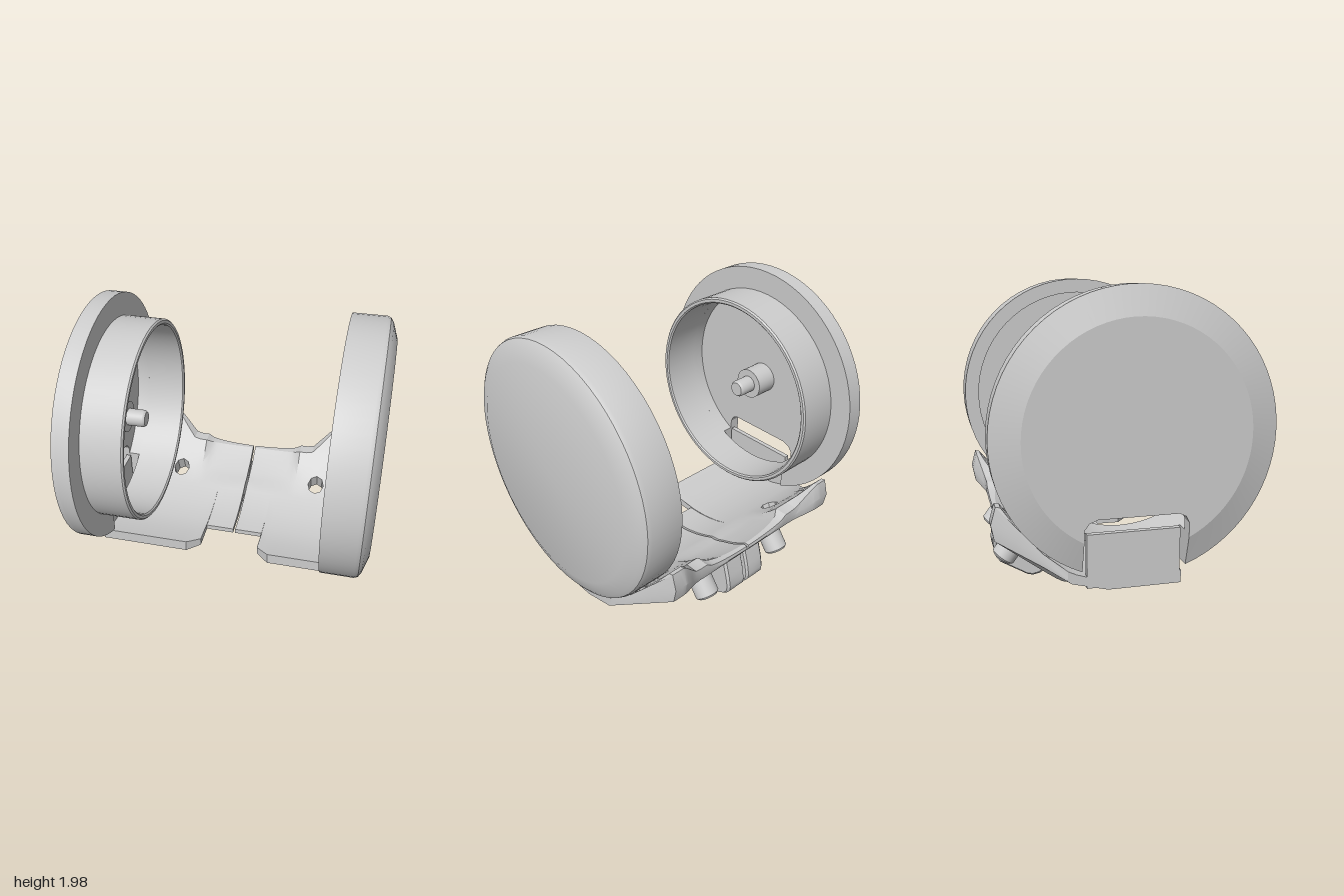
import * as THREE from 'three';
import { toCreasedNormals } from 'three/addons/utils/BufferGeometryUtils.js';

const AXIS_Y = 1.12; // height of the shared axis of both discs
const material = new THREE.MeshStandardMaterial({ color: 0xcccccc, side: THREE.DoubleSide });
const clamp = (v) => Math.min(1, Math.max(0, v));

function addMesh(group, name, geometry, crease = 0.6) {
  const mesh = new THREE.Mesh(toCreasedNormals(geometry, crease), material);
  mesh.name = name;
  group.add(mesh);
  return mesh;
}

// Section loop of [z, y] pairs placed at x
const section = (x, loop) => loop.map(([z, y]) => new THREE.Vector3(x, y, z));

// Solid through closed sections ordered along x; s = -1 mirrors it.
// hole: { col, row, span } leaves an eight-sided opening through the sheet.
function loft(grid, s = 1, hole = null) {
  const pos = [];
  const tri = (a, b, c) => {
    for (const p of s > 0 ? [a, b, c] : [a, c, b]) pos.push(s * p.x, p.y, p.z);
  };
  const quad = (a, b, c, d) => { tri(a, b, d); tri(b, c, d); };
  const n = grid[0].length;
  const inHole = (i, j) => hole && (i === hole.col || i === hole.col - 1) &&
    [hole.row, hole.row + 1, hole.span - hole.row - 1, hole.span - hole.row - 2].includes(j);
  for (let i = 0; i < grid.length - 1; i++) {
    for (let j = 0; j < n; j++) {
      if (inHole(i, j)) continue;
      const k = (j + 1) % n;
      quad(grid[i][j], grid[i + 1][j], grid[i + 1][k], grid[i][k]);
    }
  }
  const cap = (loop, flip) => {
    const flat = loop.map((p) => new THREE.Vector2(p.z, p.y));
    for (const [a, b, c] of THREE.ShapeUtils.triangulateShape(flat, [])) {
      if (flip) tri(loop[a], loop[c], loop[b]);
      else tri(loop[a], loop[b], loop[c]);
    }
  };
  cap(grid[0], false);
  cap(grid[grid.length - 1], true);
  if (hole) {
    const rim = [[-1, 0], [0, 0], [1, 0], [1, 1], [1, 2], [0, 2], [-1, 2], [-1, 1]];
    rim.forEach(([di, dj], q) => {
      const [ei, ej] = rim[(q + 1) % 8];
      const at = (d, j) => grid[hole.col + d][j];
      quad(at(di, hole.row + dj), at(ei, hole.row + ej),
        at(ei, hole.span - hole.row - ej), at(di, hole.span - hole.row - dj));
    });
  }
  const g = new THREE.BufferGeometry();
  g.setAttribute('position', new THREE.Float32BufferAttribute(pos, 3));
  return g;
}

// Revolved part about the disc axis; profile of [radius, x] pairs
function turned(profile, segments = 64) {
  const g = new THREE.LatheGeometry(profile.map(([r, x]) => new THREE.Vector2(r, x)), segments);
  return g.rotateZ(-Math.PI / 2).translate(0, AXIS_Y, 0);
}

// Arc of a notched disc, from the front wall of the notch over the top to its rear wall
function notchedArc(r, steps = 64) {
  const a = -Math.acos(0.3 / r);
  const b = Math.PI + Math.acos(0.33 / r);
  return Array.from({ length: steps + 1 }, (_, i) => {
    const t = a + ((b - a) * i) / steps;
    return [r * Math.cos(t), AXIS_Y + r * Math.sin(t)];
  });
}

// Cross-section of the cradle at x, with its front edge at z = f
function cradleSection(x, f) {
  const scoop = x < 0.38 ? Math.sqrt(1 - (x / 0.38) ** 2) : 0;
  const wing = clamp((x - 0.47) / 0.15);
  const taper = 0.93 * clamp((x - 0.72) / 0.18);
  const mix = THREE.MathUtils.lerp;
  const pull = (z) => (z < -0.385 ? mix(z, -0.385, taper) : z);
  // concave bed: [z, depth of the rear scoop]
  const bed = [];
  for (let i = 0; i < 5; i++) bed.push([mix(f, -0.36, i / 4), 0]);
  bed.push([-0.41, 0], [-0.47, 0.025], [-0.53, 0.04],
    [mix(-0.6, -0.65, wing) - 0.02 * scoop, 0.08],
    [mix(-0.66, -0.77, wing) - 0.06 * scoop, 0.135]);
  const upper = bed.map(([z, d]) => {
    const zz = pull(z);
    return [zz, AXIS_Y - Math.sqrt(0.885 ** 2 - zz * zz) - d * scoop];
  });
  // rear edge and underside
  const lower = [
    [mix(-0.75, -0.8, wing), mix(0.53, 0.69, wing) - 0.06 * scoop],
    [mix(-0.755, -0.83, wing), mix(0.48, 0.58, wing) - 0.03 * scoop],
    [mix(-0.745, -0.81, wing), mix(0.43, 0.48, wing)],
    [-0.57, 0.302], [-0.51, 0.257], [-0.45, 0.215], [-0.41, 0.19],
  ].map(([z, y]) => [pull(z), mix(y, 0.26, taper)]);
  return section(x, [...upper, ...lower, [-0.385, 0.255], [-0.17, 0.2], [f, 0.2]]);
}

function cradleHalf(s) {
  const xs = [0.008, 0.08, 0.15, 0.21, 0.21, 0.26, 0.3, 0.34, 0.38, 0.43, 0.48, 0.54, 0.6,
    0.63, 0.66, 0.72, 0.78, 0.84, s > 0 ? 0.9 : 0.93];
  const grid = xs.map((x, i) => cradleSection(x, i < 4 ? 0.02 : Math.min(0.28, 0.2 + (x - 0.21) * 0.9)));
  const hole = { col: 11, row: 5, span: 20 };
  // round the corners of the hole
  for (const i of [10, 12]) {
    for (const [j, mid] of [[5, 6], [7, 6], [13, 14], [15, 14]]) grid[i][j].lerp(grid[11][mid], 0.3);
  }
  return loft(grid, s, hole);
}

export function createModel() {
  const model = new THREE.Group();

  // Deep cap on the left
  addMesh(model, 'leftCap', turned([[0, 0.77], [0.76, 0.77], [0.76, 0.7], [0.86, 0.7], [0.86, 0.92],
    [0.85, 0.945], [0.82, 0.965], [0.72, 1], [0, 1]]), 0.4);

  // Notched cap on the right, with its raised rim and inner collar
  const notchTop = [[-0.33, 0.6], [-0.3, 0.64], [-0.25, 0.66], [0.24, 0.66], [0.28, 0.64], [0.3, 0.6]];
  const plate = (x, r) => section(x, [...notchedArc(r), ...notchTop]);
  addMesh(model, 'rightCapPlate', loft([plate(-1, 0.68), plate(-0.945, 0.855), plate(-0.92, 0.855)]), 0.25);
  const rim = [...notchedArc(0.855), ...notchedArc(0.66).reverse()];
  addMesh(model, 'rightCapRim', loft([section(-0.92, rim), section(-0.83, rim)]));
  addMesh(model, 'rightCollar', turned([[0.66, -0.84], [0.7, -0.84], [0.7, -0.56], [0.69, -0.55],
    [0.67, -0.55], [0.66, -0.56], [0.66, -0.84]]));

  // Centre pin inside the collar
  addMesh(model, 'centrePin', turned([[0, -0.94], [0.11, -0.94], [0.11, -0.76], [0.06, -0.76],
    [0.06, -0.645], [0.05, -0.63], [0, -0.63]], 32));

  // Upright tongue standing in the notch
  addMesh(model, 'notchTongue', new THREE.BoxGeometry(0.035, 0.33, 0.57).translate(-0.915, 0.385, -0.015));

  // Lug under the rear edge, in two halves
  const lug = [[-0.41, 0.24], [-0.7, 0.42], [-0.74, 0.28], [-0.755, 0.2], [-0.75, 0.16], [-0.72, 0.12],
    [-0.54, 0.015], [-0.5, 0.005], [-0.45, 0.015], [-0.42, 0.04], [-0.41, 0.08]];
  const lugInset = lug.map(([z, y]) => [-0.58 + (z + 0.58) * 0.92, 0.2 + (y - 0.2) * 0.92]);

  for (const s of [1, -1]) {
    const side = s > 0 ? 'left' : 'right';
    addMesh(model, side + 'Cradle', cradleHalf(s), 0.5);
    addMesh(model, side + 'Lug', loft([section(0.012, lugInset), section(0.025, lug),
      section(0.155, lug), section(0.172, lugInset)], s));

    // Screw set square to the sloping underside
    const screw = new THREE.LatheGeometry([[0, -0.14], [0.065, -0.14], [0.08, -0.125], [0.08, 0.04], [0, 0.04]]
      .map(([r, y]) => new THREE.Vector2(r, y)), 28);
    const mesh = addMesh(model, side + 'Screw', screw);
    mesh.position.set(s * 0.34, 0.335, -0.645);
    mesh.rotation.x = Math.atan2(0.6, 0.8);
  }
  return model;
}
